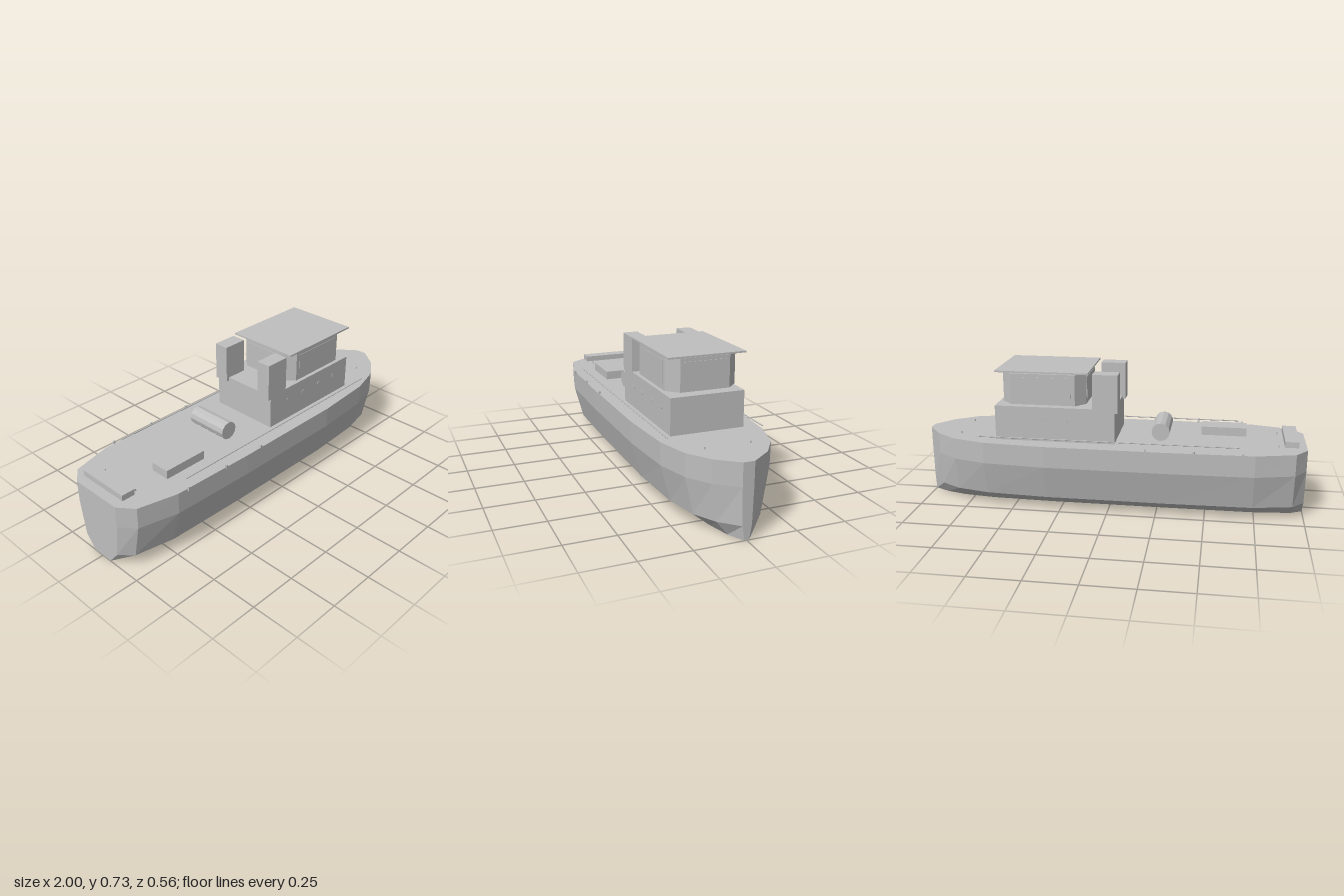
import * as THREE from 'three';

export function createModel() {
  const boat = new THREE.Group();
  boat.name = 'tugboat';
  const grey = new THREE.MeshStandardMaterial({ color: 0xbfbfbf });
  grey.name = 'plain grey';

  const add = (name, geometry, x = 0, y = 0, z = 0) => {
    const mesh = new THREE.Mesh(geometry, grey);
    mesh.name = name;
    mesh.position.set(x, y, z);
    boat.add(mesh);
    return mesh;
  };
  // Box given by its limits on each axis
  const box = (name, x0, x1, y0, y1, z0, z1) =>
    add(name, new THREE.BoxGeometry(x1 - x0, y1 - y0, z1 - z0),
      (x0 + x1) / 2, (y0 + y1) / 2, (z0 + z1) / 2);

  // Closed faceted solid lofted from a convex plan: levels are [height, width scale]
  const loft = (plan, levels) => {
    const ring = [
      ...plan.map(([x, w]) => [x, -w]),
      ...plan.slice().reverse().map(([x, w]) => [x, w]),
    ];
    const rings = levels.map(([y, s]) => ring.map(([x, z]) => [x, y, z * s]));
    const pos = [];
    const tri = (...corners) => corners.forEach((c) => pos.push(...c));
    const n = ring.length;
    for (let i = 0; i < n; i++) {
      const j = (i + 1) % n;
      for (let k = 0; k < rings.length - 1; k++) {
        const lo = rings[k], hi = rings[k + 1];
        tri(lo[i], lo[j], hi[j]);
        tri(lo[i], hi[j], hi[i]);
      }
      const bottom = rings[0], top = rings[rings.length - 1];
      tri([0.3, levels[0][0], 0], bottom[j], bottom[i]);
      tri([0.3, levels[levels.length - 1][0], 0], top[i], top[j]);
    }
    const geometry = new THREE.BufferGeometry();
    geometry.setAttribute('position', new THREE.Float32BufferAttribute(pos, 3));
    geometry.computeVertexNormals();
    return geometry;
  };

  // Hull: deck plan as [x, half width], bow to stern
  add('hull', loft(
    [[1, 0.028], [0.92, 0.132], [0.81, 0.21], [0.64, 0.258], [0.32, 0.281],
      [-0.3, 0.281], [-0.74, 0.27], [-0.94, 0.22], [-1, 0.142]],
    [[0, 0.4], [0.07, 0.81], [0.25, 0.99], [0.362, 1]]));

  // Deckhouse, wheelhouse with cut corners, and roof
  box('deckhouse', -0.033, 0.588, 0.36, 0.543, -0.187, 0.187);
  add('wheelhouse', loft(
    [[0.555, 0.125], [0.5, 0.179], [0.17, 0.179], [0.12, 0.125]],
    [[0.553, 1], [0.713, 1]]));
  box('roof', 0.1, 0.58, 0.72, 0.728, -0.195, 0.195);
  box('frontWindow', 0.554, 0.558, 0.582, 0.695, -0.115, 0.115);
  box('rearWindow', 0.117, 0.121, 0.582, 0.695, -0.115, 0.115);

  // Deck gear
  const drum = add('winchDrum', new THREE.CylinderGeometry(0.047, 0.047, 0.23, 12).toNonIndexed(),
    -0.262, 0.415, 0);
  drum.geometry.computeVertexNormals();
  drum.rotation.x = Math.PI / 2;
  box('hatch', -0.7, -0.465, 0.36, 0.407, 0.045, 0.148);
  box('sternLocker', -0.957, -0.887, 0.372, 0.402, -0.142, 0.142);

  // Mirrored parts
  for (const side of [1, -1]) {
    const rail = add('handrail', new THREE.CylinderGeometry(0.003, 0.003, 1.34, 6), 0.01, 0.39, side * 0.238);
    rail.rotation.z = Math.PI / 2;
    box('funnel', -0.05, 0.08, 0.525, 0.721, side * 0.1485 - 0.0385, side * 0.1485 + 0.0385);
    box('sideWindow', 0.19, 0.48, 0.582, 0.695, side * 0.179 - 0.002, side * 0.179 + 0.002);
    for (const x of [-0.68, -0.44, -0.2])
      box('bollard', x - 0.005, x + 0.005, 0.35, 0.374, side * 0.276 - 0.005, side * 0.276 + 0.005);
    for (const x of [-0.86, 0.8])
      box('cleat', x - 0.003, x + 0.003, 0.36, 0.374, side * 0.113 - 0.002, side * 0.113 + 0.002);
    for (const x of [0.1, 0.22, 0.35, 0.47]) {
      const porthole = add('porthole', new THREE.CylinderGeometry(0.012, 0.012, 0.004, 10), x, 0.47, side * 0.187);
      porthole.rotation.x = Math.PI / 2;
    }
  }
  return boat;
}
